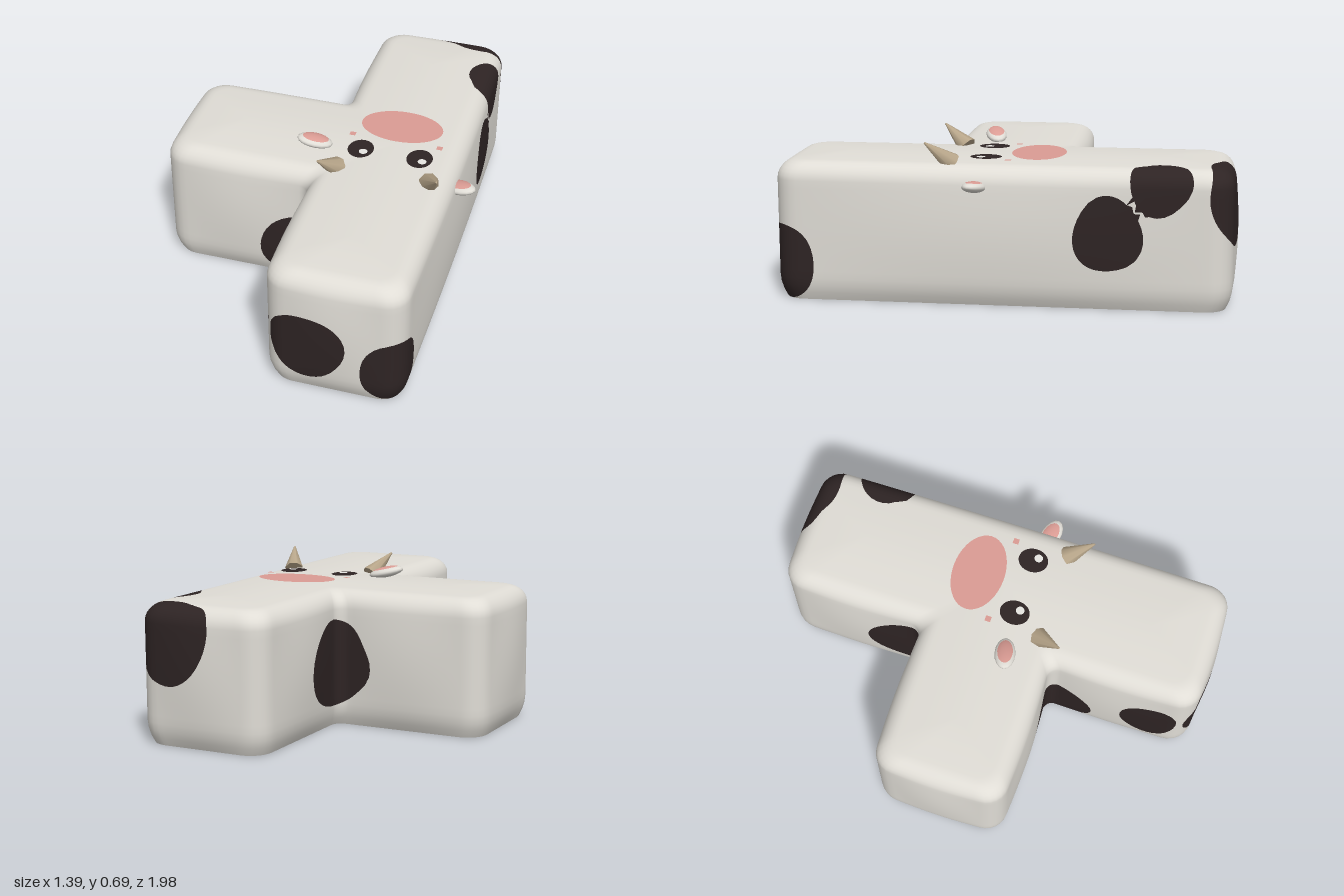
import * as THREE from 'three';

const mat = (name, color, side = THREE.FrontSide) => {
  const m = new THREE.MeshStandardMaterial({ color, side });
  m.name = name;
  return m;
};

// T-shaped outline in x,z; walked so that the outside lies on the left
const HALF = 0.3, HEIGHT = 0.6;
const CORNERS = [[0.6, 0.97], [0.6, -0.97], [0, -0.97], [0, -0.3], [-0.68, -0.3], [-0.68, 0.3], [0, 0.3], [0, 0.97]]
  .map(([x, z]) => new THREE.Vector2(x, z));

// One ring of the body: the outline moved inwards by d at height y
function ring(d, y) {
  const n = CORNERS.length, k = 1 - d / HALF, pts = [];
  const bulge = 0.02 * k * Math.sin(Math.PI * Math.min(1, y / HEIGHT));
  const dir = i => CORNERS[(i + 1) % n].clone().sub(CORNERS[i % n]).normalize();
  const inset = c => new THREE.Vector2(c.x + (c.x > 0.5 ? -d : d), c.y - Math.sign(c.y) * d);
  const radius = i => (i % n === 3 || i % n === 6 ? 0.05 : 0.1) * k;
  for (let i = 0; i < n; i++) {
    const tin = dir(i + n - 1), tout = dir(i), r = radius(i), c = inset(CORNERS[i]);
    for (let s = 0; s <= 6; s++) { // rounded corner
      const a = s / 6 * Math.PI / 2;
      pts.push(c.clone().addScaledVector(tin, r * (Math.sin(a) - 1)).addScaledVector(tout, r * (1 - Math.cos(a))));
    }
    const from = c.clone().addScaledVector(tout, r);
    const to = inset(CORNERS[(i + 1) % n]).addScaledVector(tout, -radius(i + 1));
    const steps = Math.ceil(CORNERS[i].distanceTo(CORNERS[(i + 1) % n]) / 0.035);
    for (let s = 1; s < steps; s++) { // gently bulging wall
      const t = s / steps, p = from.clone().lerp(to, t), b = bulge * Math.sin(Math.PI * t);
      pts.push(p.add(new THREE.Vector2(-tout.y * b, tout.x * b)));
    }
  }
  return pts.map(p => new THREE.Vector3(p.x, y, p.y));
}

// Closed skin from the open bottom edge up to the middle of the top
function bodySkin() {
  const rings = [];
  for (let i = 0; i < 16; i++) {
    const y = i / 16 * 0.52;
    rings.push(ring(0.025 * Math.max(0, 1 - y / 0.1) ** 2, y));
  }
  for (let i = 0; i <= 7; i++) {
    const a = i / 7 * Math.PI / 2;
    rings.push(ring(0.08 * (1 - Math.cos(a)), 0.52 + 0.08 * Math.sin(a)));
  }
  for (let i = 1; i <= 8; i++) rings.push(ring(0.08 + 0.22 * i / 8, 0.6 + 0.01 * Math.sin(i / 8 * Math.PI / 2)));
  const n = rings[0].length, index = [];
  for (let j = 0; j < rings.length - 1; j++) {
    for (let i = 0; i < n; i++) {
      const a = j * n + i, b = j * n + (i + 1) % n;
      index.push(a, b, b + n, a, b + n, a + n);
    }
  }
  const g = new THREE.BufferGeometry().setFromPoints(rings.flat());
  g.setIndex(index);
  g.computeVertexNormals();
  return g;
}

// Coat patches: centre, then radii
const SPOTS = [
  [0.185, 0.245, 0.98, 0.172, 0.162, 0.12],
  [0.6, 0.16, 0.97, 0.19, 0.165, 0.18],
  [0.61, 0.325, -0.45, 0.1, 0.16, 0.146],
  [0.59, 0.54, -0.665, 0.115, 0.135, 0.13],
  [0.46, 0.47, -0.98, 0.215, 0.2, 0.14],
  [-0.03, 0.17, 0.33, 0.21, 0.17, 0.18],
  [0, 0.28, -0.37, 0.16, 0.19, 0.19],
  [0, 0.26, 0.78, 0.1, 0.16, 0.13],
];

// Negative inside a patch, with a slightly wavy rim
function spotField(p) {
  return Math.min(...SPOTS.map(([x, y, z, rx, ry, rz], i) => {
    const u = (p.x - x) / rx, v = (p.y - y) / ry, w = (p.z - z) / rz;
    return Math.hypot(u, v, w) - 1 - 0.05 * Math.sin(3 * Math.atan2(v, u + w) + i * 1.7);
  }));
}

// The part of the skin where sign * field is positive, cut along the rim
function cutSkin(skin, sign) {
  const P = skin.attributes.position, N = skin.attributes.normal, pos = [], nor = [];
  const verts = Array.from({ length: P.count }, (_, i) => {
    const p = new THREE.Vector3().fromBufferAttribute(P, i);
    return { p, n: new THREE.Vector3().fromBufferAttribute(N, i), f: sign * spotField(p) };
  });
  const idx = skin.index.array;
  for (let t = 0; t < idx.length; t += 3) {
    const poly = [];
    for (let e = 0; e < 3; e++) {
      const a = verts[idx[t + e]], b = verts[idx[t + (e + 1) % 3]];
      if (a.f >= 0) poly.push(a);
      if ((a.f >= 0) !== (b.f >= 0)) {
        const s = a.f / (a.f - b.f);
        poly.push({ p: a.p.clone().lerp(b.p, s), n: a.n.clone().lerp(b.n, s).normalize() });
      }
    }
    for (let k = 1; k + 1 < poly.length; k++) {
      for (const v of [poly[0], poly[k], poly[k + 1]]) {
        pos.push(...v.p.toArray());
        nor.push(...v.n.toArray());
      }
    }
  }
  const g = new THREE.BufferGeometry();
  g.setAttribute('position', new THREE.Float32BufferAttribute(pos, 3));
  g.setAttribute('normal', new THREE.Float32BufferAttribute(nor, 3));
  return g;
}

export function createModel() {
  const model = new THREE.Group();
  model.name = 'cowBlock';
  const white = mat('coat white', 0xe0ddd6, THREE.DoubleSide);
  const dark = mat('patch brown', 0x2e2424, THREE.DoubleSide);
  const pink = mat('skin pink', 0xdb9c94);
  const tan = mat('horn tan', 0xb8a68a);
  const shine = mat('eye shine', 0xf4f2ee);
  const add = (name, geo, material, parent = model) => {
    const m = new THREE.Mesh(geo, material);
    m.name = name;
    parent.add(m);
    return m;
  };

  // Hollow body with its patches
  const skin = bodySkin();
  add('body', cutSkin(skin, 1), white);
  add('patches', cutSkin(skin, -1), dark);

  // Flat face details on the top
  const plate = (name, x, y, z, rx, rz, material) => {
    const m = add(name, new THREE.CircleGeometry(1, 40).rotateX(-Math.PI / 2), material);
    m.scale.set(rx, 1, rz);
    m.position.set(x, y, z);
  };
  plate('muzzle', 0.298, 0.6125, -0.133, 0.185, 0.117, pink);
  for (const [side, eyeX, cheekX] of [['right', 0.165, 0.1], ['left', 0.43, 0.495]]) {
    plate(side + 'Eye', eyeX, 0.6125, 0.08, 0.057, 0.067, dark);
    plate(side + 'EyeShine', eyeX + 0.016, 0.6145, 0.1, 0.019, 0.019, shine);
    const cheek = add(side + 'Cheek', new THREE.PlaneGeometry(0.026, 0.026).rotateX(-Math.PI / 2), pink);
    cheek.position.set(cheekX, 0.6115, -0.022);
  }

  // Horns leaning outwards and forwards
  for (const s of [-1, 1]) {
    const base = new THREE.Vector3(0.3 + s * 0.205, 0.595, 0.215);
    const tip = new THREE.Vector3(0.3 + s * 0.26, 0.688, 0.322);
    const axis = tip.clone().sub(base), len = axis.length();
    const horn = add(s < 0 ? 'rightHorn' : 'leftHorn',
      new THREE.CylinderGeometry(0.004, 0.045, len, 8).translate(0, len / 2, 0), tan);
    horn.position.copy(base);
    horn.quaternion.setFromUnitVectors(new THREE.Vector3(0, 1, 0), axis.normalize());
  }

  // Ears: flattened pods with a pink upper inside
  const ear = (name, x, y, z, tilt, turn) => {
    const g = new THREE.Group();
    g.name = name;
    g.position.set(x, y, z);
    g.rotation.set(0, turn, tilt);
    model.add(g);
    add(name + 'Shell', new THREE.SphereGeometry(1, 16, 10).scale(0.08, 0.023, 0.046), white, g);
    const inner = new THREE.SphereGeometry(1, 16, 4, 0, Math.PI * 2, 0, 0.8);
    add(name + 'Inside', inner.scale(0.082, 0.0255, 0.048), pink, g);
  };
  ear('rightEar', -0.038, 0.63, 0.102, -0.22, 0.25);
  ear('leftEar', 0.615, 0.515, 0.105, 0.15, -0.25);
  return model;
}
